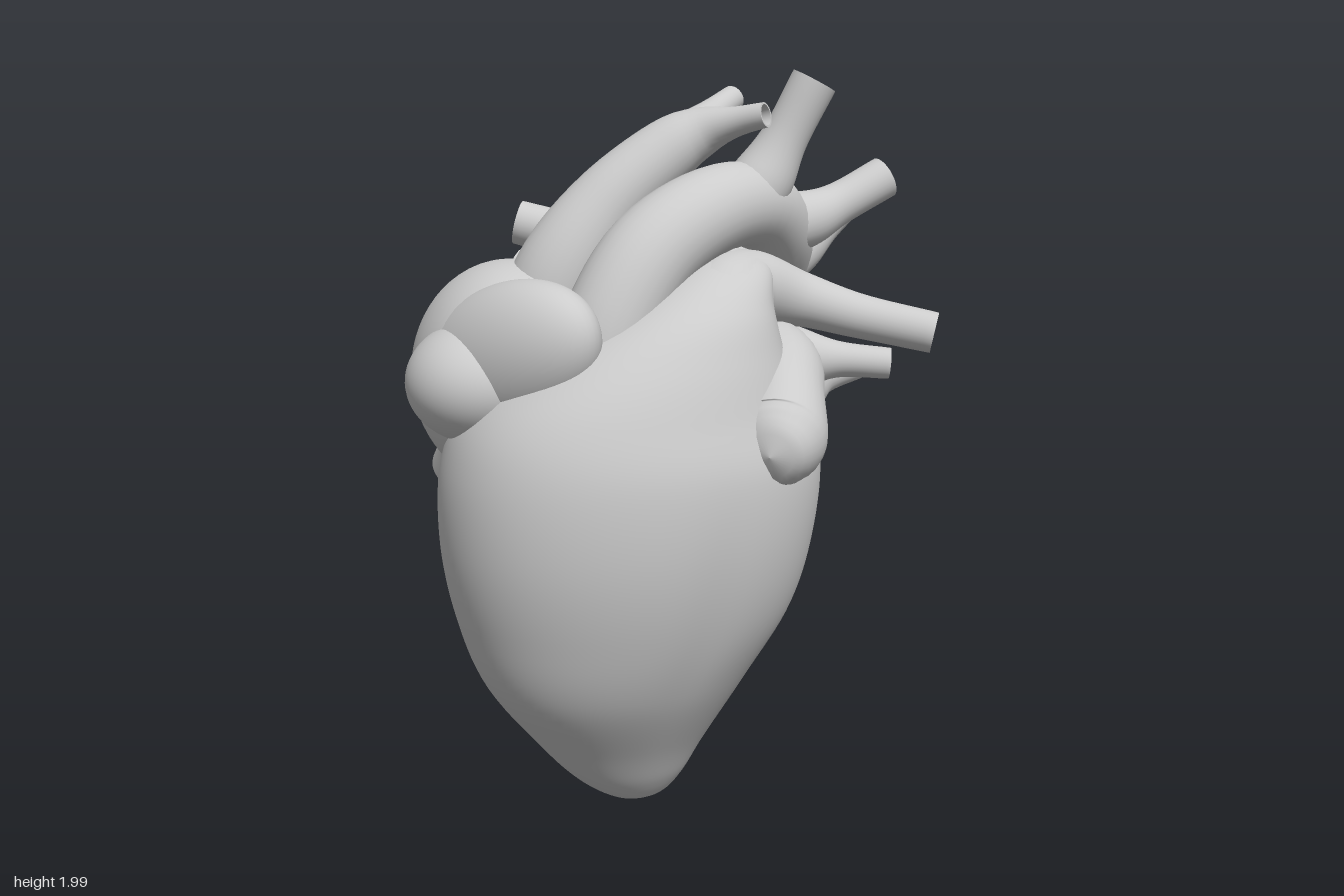
import * as THREE from 'three';

const material = new THREE.MeshStandardMaterial({ color: 0xcccccc });
const V = (x, y, z) => new THREE.Vector3(x, y, z);
const smooth = (points) => new THREE.CatmullRomCurve3(points, false, 'catmullrom', 0.5);

// Closed-loop cross-sections joined into one smooth skin
function skin(name, rings) {
  const m = rings[0].length, pos = [], index = [];
  rings.forEach((ring, i) => ring.forEach((p, j) => {
    pos.push(p.x, p.y, p.z);
    if (i === rings.length - 1) return;
    const k = (j + 1) % m, a = i * m + j, b = i * m + k;
    index.push(a, b, b + m, a, b + m, a + m);
  }));
  const geo = new THREE.BufferGeometry();
  geo.setAttribute('position', new THREE.Float32BufferAttribute(pos, 3));
  geo.setIndex(index);
  geo.computeVertexNormals();
  const mesh = new THREE.Mesh(geo, material);
  mesh.name = name;
  return mesh;
}

// Tapering tube through [x, y, z, radius] points, with a hollow mouth when open
function vessel(name, pts, open = true) {
  const n = 36, m = 28;
  const path = smooth(pts.map((p) => V(p[0], p[1], p[2])));
  const radii = smooth(pts.map((p, i) => V(p[3], i, 0)));
  const frames = path.computeFrenetFrames(n);
  const radiusAt = (i) => Math.max(0, radii.getPoint(path.getUtoTmapping(i / n)).x);
  const ring = (i, r) => {
    const c = path.getPointAt(i / n);
    return Array.from({ length: m }, (_, j) => {
      const a = (j / m) * Math.PI * 2;
      return c.clone().addScaledVector(frames.normals[i], r * Math.cos(a))
        .addScaledVector(frames.binormals[i], r * Math.sin(a));
    });
  };
  const rings = [];
  for (let i = 0; i <= n; i++) rings.push(ring(i, radiusAt(i)));
  if (open) {
    const r = radiusAt(n);
    rings.push(ring(n, r), ring(n, r * 0.84), ring(n, r * 0.84));
    rings.push(ring(n - 7, r * 0.78), ring(n - 7, r * 0.78), ring(n - 7, 0));
  }
  return skin(name, rings);
}

// Ellipsoid whose local z axis points along the given direction
function blob(name, center, radii, axis = [0, 0, 1]) {
  const mesh = new THREE.Mesh(new THREE.SphereGeometry(1, 48, 32), material);
  mesh.name = name;
  mesh.position.set(...center);
  mesh.scale.set(...radii);
  mesh.lookAt(center[0] + axis[0], center[1] + axis[1], center[2] + axis[2]);
  return mesh;
}

// Ventricles: rows of [y, xMin, xMax, zMin, zMax], narrowing upward into the outflow cone
function ventricles() {
  const rows = [
    [0, -0.10, -0.10, 0.09, 0.09], [0.025, -0.185, -0.025, 0.015, 0.165], [0.09, -0.28, 0.03, -0.045, 0.235],
    [0.2, -0.38, 0.09, -0.115, 0.315],
    [0.4, -0.52, 0.205, -0.21, 0.455], [0.6, -0.59, 0.32, -0.275, 0.53], [0.8, -0.62, 0.375, -0.30, 0.57],
    [1.0, -0.61, 0.39, -0.305, 0.57], [1.15, -0.54, 0.34, -0.26, 0.53], [1.28, -0.36, 0.29, -0.12, 0.46],
    [1.4, -0.14, 0.26, -0.02, 0.36], [1.5, 0.02, 0.25, -0.04, 0.22], [1.55, 0.14, 0.14, 0.06, 0.06],
  ];
  const mid = smooth(rows.map(([y, a, b, c, d]) => V((a + b) / 2, y, (c + d) / 2)));
  const half = smooth(rows.map(([y, a, b, c, d]) => V((b - a) / 2, y, (d - c) / 2)));
  const bell = (v, w) => Math.exp(-((v / w) ** 2));
  const n = 88, m = 96, rings = [];
  for (let i = 0; i <= n; i++) {
    const c = mid.getPoint(i / n), h = half.getPoint(i / n);
    rings.push(Array.from({ length: m }, (_, j) => {
      const a = (j / m) * Math.PI * 2 - Math.PI;
      // grooves between the two chambers, back and front
      const groove = 0.075 * bell(a - 1.3, 0.13) + 0.025 * bell(a + 0.95, 0.16);
      // the back is squarer than the front
      const p = a > 0 ? 2.35 : 2;
      const square = (Math.abs(Math.cos(a)) ** p + Math.abs(Math.sin(a)) ** p) ** (-1 / p);
      const s = square * (1 - groove * bell(c.y - 0.6, 0.32));
      const front = -Math.sin(a) * s;
      // the front bulges toward the right chamber
      const lean = 0.16 * Math.max(0, front) ** 2;
      return V(c.x + h.x * (Math.cos(a) * s - lean), c.y, c.z + h.z * front);
    }));
  }
  return skin('ventricles', rings);
}

export function createModel() {
  const heart = new THREE.Group();
  heart.name = 'heart';
  heart.add(ventricles());

  // Right atrium, its front auricle and the great veins
  heart.add(
    blob('rightAtrium', [-0.43, 1.2, 0.03], [0.265, 0.305, 0.335], [0.12, 0.12, 0.4]),
    blob('rightAuricle', [-0.42, 1.275, 0.235], [0.14, 0.19, 0.31], [0.42, 0.22, 0.36]),
    blob('rightAuricleLobe', [-0.5, 1.21, 0.19], [0.19, 0.16, 0.2]),
    vessel('inferiorVenaCava', [[-0.5, 1.14, -0.12, 0.13], [-0.54, 1.04, -0.22, 0.1],
      [-0.58, 0.94, -0.31, 0.087], [-0.62, 0.84, -0.4, 0.092]]),
    vessel('superiorVenaCava', [[-0.36, 1.28, 0.06, 0.13], [-0.29, 1.48, 0.07, 0.12], [-0.17, 1.65, 0.04, 0.1],
      [-0.01, 1.785, 0, 0.085], [0.08, 1.835, 0, 0.065], [0.16, 1.86, 0.04, 0.04], [0.24, 1.88, 0.085, 0.032]]),
    vessel('leftBrachiocephalicVein', [[0.0, 1.79, 0, 0.075], [0.07, 1.84, -0.04, 0.06],
      [0.12, 1.885, -0.11, 0.04], [0.17, 1.92, -0.18, 0.034]]),
  );

  // Left atrium, its auricle and the four pulmonary veins
  heart.add(
    blob('leftAtrium', [0.03, 1.19, -0.09], [0.38, 0.225, 0.215]),
    vessel('leftAuricle', [[0.2, 1.21, -0.07, 0.16], [0.27, 1.21, 0.08, 0.13], [0.275, 1.165, 0.22, 0.115],
      [0.265, 1.095, 0.31, 0.125], [0.255, 1.075, 0.355, 0.115], [0.245, 1.065, 0.395, 0.09],
      [0.235, 1.06, 0.422, 0.05], [0.232, 1.06, 0.433, 0]], false),
    vessel('leftUpperPulmonaryVein', [[0.2, 1.22, -0.04, 0.14], [0.34, 1.23, -0.01, 0.09],
      [0.45, 1.23, 0, 0.05], [0.59, 1.22, 0.01, 0.042]]),
    vessel('leftLowerPulmonaryVein', [[0.2, 1.15, -0.08, 0.12], [0.34, 1.13, -0.14, 0.1],
      [0.43, 1.15, -0.2, 0.055], [0.54, 1.17, -0.26, 0.042]]),
    vessel('rightUpperPulmonaryVein', [[-0.08, 1.26, -0.1, 0.12], [-0.21, 1.34, -0.16, 0.085],
      [-0.32, 1.4, -0.19, 0.052], [-0.44, 1.47, -0.205, 0.043]]),
    vessel('rightLowerPulmonaryVein', [[-0.06, 1.21, -0.12, 0.12], [-0.19, 1.275, -0.22, 0.085],
      [-0.28, 1.32, -0.28, 0.052], [-0.4, 1.37, -0.345, 0.043]]),
  );

  // Pulmonary trunk turning into its left and right arteries
  heart.add(
    vessel('leftPulmonaryArtery', [[0.06, 1.24, 0.22, 0.13], [0.12, 1.38, 0.16, 0.135], [0.2, 1.43, 0.06, 0.105],
      [0.34, 1.395, 0, 0.075], [0.5, 1.35, 0.01, 0.06], [0.7, 1.31, 0.055, 0.055]]),
    vessel('rightPulmonaryArtery', [[0.26, 1.41, 0.02, 0.075], [0.17, 1.45, -0.09, 0.08],
      [0, 1.485, -0.14, 0.075], [-0.2, 1.53, -0.155, 0.065], [-0.42, 1.585, -0.18, 0.06]]),
  );

  // Aorta and the three branches of its arch
  heart.add(
    vessel('aorta', [[-0.2, 1.18, 0.25, 0.13], [-0.16, 1.36, 0.24, 0.125], [-0.06, 1.53, 0.18, 0.122],
      [0.09, 1.63, 0.08, 0.115], [0.22, 1.64, -0.05, 0.11], [0.29, 1.55, -0.19, 0.108],
      [0.29, 1.43, -0.32, 0.1], [0.28, 1.31, -0.44, 0.092]]),
    vessel('firstArchBranch', [[0.17, 1.62, 0, 0.085], [0.24, 1.71, -0.025, 0.085],
      [0.3, 1.82, -0.03, 0.063], [0.375, 1.965, -0.03, 0.062]]),
    vessel('secondArchBranch', [[0.26, 1.575, -0.14, 0.085], [0.37, 1.59, -0.19, 0.08],
      [0.47, 1.63, -0.235, 0.06], [0.605, 1.7, -0.285, 0.059]]),
    vessel('thirdArchBranch', [[0.3, 1.45, -0.29, 0.08], [0.375, 1.5, -0.36, 0.075],
      [0.45, 1.555, -0.44, 0.057], [0.545, 1.63, -0.54, 0.053]]),
  );
  return heart;
}
